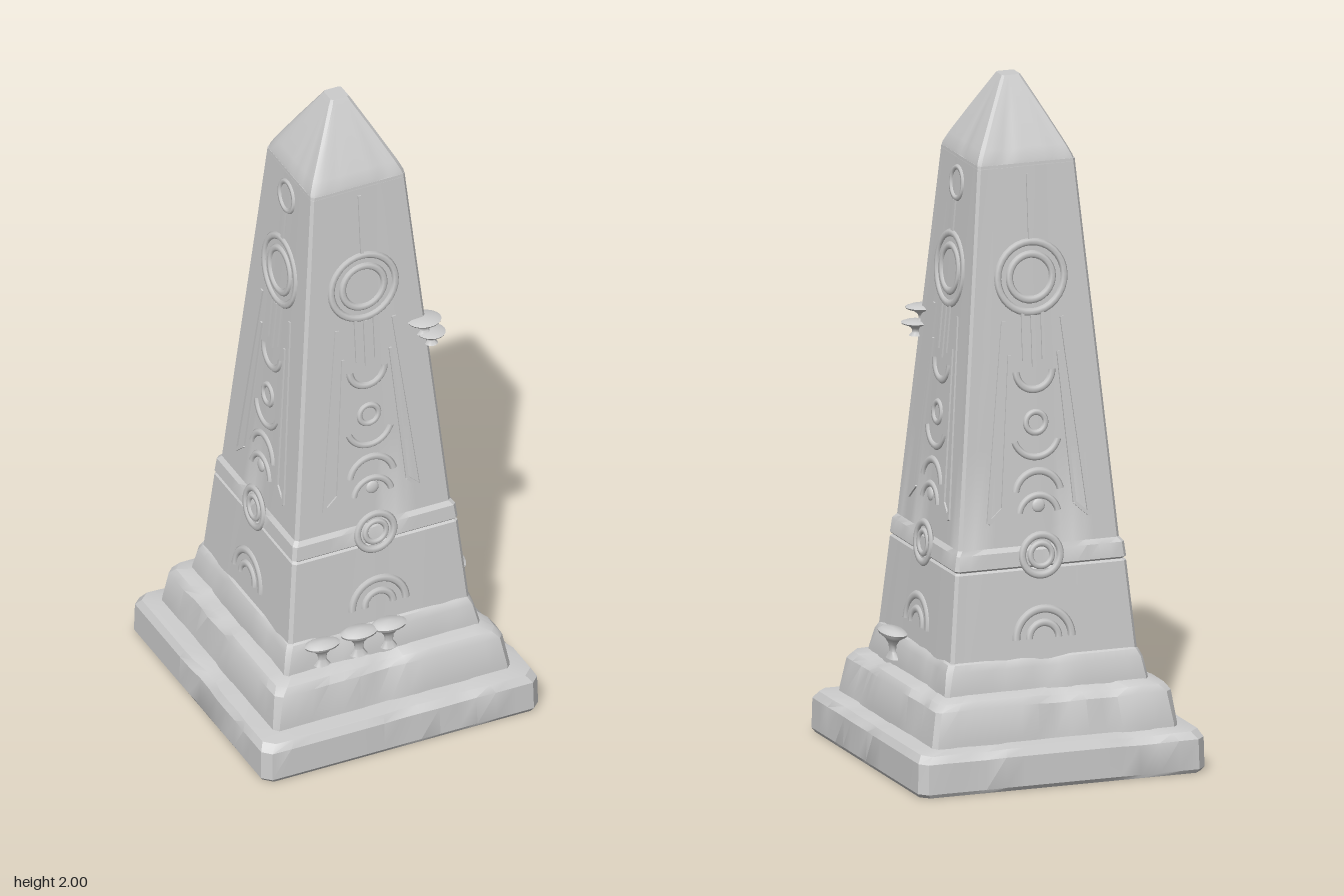
import * as THREE from 'three';
import { toCreasedNormals } from 'three/addons/utils/BufferGeometryUtils.js';

const stone = new THREE.MeshStandardMaterial({ color: 0xcccccc });
stone.name = 'stone grey';

function add(parent, geometry, name, x = 0, y = 0, z = 0) {
  const mesh = new THREE.Mesh(geometry, stone);
  mesh.name = name;
  mesh.position.set(x, y, z);
  parent.add(mesh);
  return mesh;
}

// Square tower of rings; each row is [y, half width, corner bevel, wear]
function squareLoft(rows, seed) {
  const N = 14, ring = 4 * (N + 1), pos = [], index = [];
  rows.forEach(([y, h, bevel, wear]) => {
    for (let k = 0; k < 4; k++) {
      const c = Math.round(Math.cos(k * Math.PI / 2)), s = Math.round(Math.sin(k * Math.PI / 2));
      for (let j = 0; j <= N; j++) {
        const t = 2 * j / N - 1, a = t * 4 + k * 2.3 + seed;
        const chip = wear * Math.max(0, Math.sin(a) + 0.6 * Math.sin(a * 2.7 + seed));
        const u = t * (h - bevel), w = h - chip;
        pos.push(u * c + w * s, y - chip * 0.5, w * c - u * s);
      }
    }
  });
  for (let i = 0; i < rows.length - 1; i++) {
    for (let j = 0; j < ring; j++) {
      const a = i * ring + j, b = i * ring + (j + 1) % ring;
      index.push(a, b, b + ring, a, b + ring, a + ring);
    }
  }
  const last = rows.length - 1, top = rows.length * ring;
  pos.push(0, rows[last][0], 0, 0, rows[0][0], 0);
  for (let j = 0; j < ring; j++) {
    const n = (j + 1) % ring;
    index.push(last * ring + j, last * ring + n, top, n, j, top + 1);
  }
  const g = new THREE.BufferGeometry();
  g.setAttribute('position', new THREE.Float32BufferAttribute(pos, 3));
  g.setIndex(index);
  return toCreasedNormals(g, 0.5);
}

// Shaft surface half width at height y
const faceZ = y => y < 0.66 ? 0.285 - (y - 0.36) * 0.09 : 0.247 - (y - 0.67) * 0.0892;

// Shallow raised carvings on one face
function carvings(withDisc) {
  const g = new THREE.Group();
  const seat = (mesh, y) => { mesh.rotation.x = -0.09; mesh.position.z = faceZ(y); return mesh; };
  const arc = (name, y, r, tube, start = 0, sweep = Math.PI * 2) => {
    const geo = new THREE.TorusGeometry(r, tube, 6, 32, sweep);
    geo.rotateZ(start);
    geo.scale(1, 1, 0.007 / tube);
    seat(add(g, geo, name, 0, y, 0), y);
  };
  const bar = (name, x0, y0, x1, y1, w) => {
    const y = (y0 + y1) / 2, geo = new THREE.BoxGeometry(w, Math.hypot(x1 - x0, y1 - y0), 0.01);
    geo.rotateZ(-Math.atan2(x1 - x0, y1 - y0));
    seat(add(g, geo, name, (x0 + x1) / 2, y, 0), y);
  };
  const disc = (name, y, r) => {
    const geo = new THREE.SphereGeometry(r, 20, 8);
    geo.scale(1, 1, 0.007 / r);
    seat(add(g, geo, name, 0, y, 0), y);
  };

  // Great ring with its stem
  arc('sunRing', 1.44, 0.102, 0.011);
  arc('sunInnerRing', 1.44, 0.066, 0.011);
  bar('sunStem', 0, 1.33, 0, 1.18, 0.012);
  if (withDisc) {
    arc('topDiscRim', 1.69, 0.045, 0.008);
    bar('topDiscStem', 0, 1.55, 0, 1.64, 0.014);
  } else {
    bar('topLine', 0, 1.55, 0, 1.74, 0.01);
  }
  // Column of crescents and discs
  arc('upperCrescent', 1.17, 0.055, 0.011, Math.PI, Math.PI);
  arc('smallRing', 1.02, 0.03, 0.009);
  arc('middleCrescent', 0.99, 0.07, 0.01, Math.PI * 1.1, Math.PI * 0.8);
  arc('upperArch', 0.81, 0.07, 0.011, 0.2, Math.PI - 0.4);
  arc('lowerArch', 0.75, 0.06, 0.01, 0.2, Math.PI - 0.4);
  disc('pearl', 0.78, 0.02);
  // Side frames
  for (const s of [-1, 1]) {
    bar('stemFrame', s * 0.03, 1.34, s * 0.03, 1.2, 0.01);
    bar('outerFrame', s * 0.09, 1.32, s * 0.155, 0.74, 0.012);
    bar('innerFrame', s * 0.075, 1.22, s * 0.11, 0.78, 0.009);
    bar('frameFoot', s * 0.155, 0.74, s * 0.11, 0.78, 0.01);
  }
  // Plinth emblems
  arc('bandRing', 0.64, 0.058, 0.011);
  arc('bandInnerRing', 0.64, 0.033, 0.009);
  arc('baseArch', 0.4, 0.085, 0.012, 0, Math.PI);
  arc('baseInnerArch', 0.4, 0.045, 0.011, 0, Math.PI);
  return g;
}

// Shelf mushroom: flat cap over a flared stalk, origin at the cap rim
const mushroomProfile = [[0, -0.075], [0.028, -0.075], [0.014, -0.055], [0.016, -0.035],
  [0.03, -0.018], [0.058, -0.003], [0.06, 0.003], [0.045, 0.011], [0, 0.015]]
  .map(p => new THREE.Vector2(...p));
function mushroom(parent, x, y, z, sx, sy, sz) {
  const geo = toCreasedNormals(new THREE.LatheGeometry(mushroomProfile, 20), 0.9);
  add(parent, geo, 'mushroom', x, y, z).scale.set(sx, sy, sz);
}

export function createModel() {
  const model = new THREE.Group();
  model.name = 'obelisk';

  // Stepped, weathered base
  add(model, squareLoft([[0, 0.432, 0.025, 0], [0.012, 0.44, 0.025, 0.003], [0.1, 0.438, 0.025, 0.006],
    [0.122, 0.425, 0.03, 0.012], [0.13, 0.36, 0.02, 0]], 0.4), 'baseSlab');
  add(model, squareLoft([[0.11, 0.378, 0.015, 0], [0.14, 0.376, 0.015, 0.003], [0.23, 0.364, 0.02, 0.01],
    [0.25, 0.35, 0.025, 0.014], [0.265, 0.3, 0.02, 0]], 2.1), 'middleStep');
  add(model, squareLoft([[0.24, 0.314, 0.012, 0], [0.27, 0.312, 0.012, 0.003], [0.325, 0.303, 0.015, 0.006],
    [0.345, 0.293, 0.015, 0.006], [0.36, 0.27, 0.015, 0]], 3.7), 'upperStep');

  // Tapered shaft with its band, then the pointed cap
  add(model, squareLoft([[0.34, 0.287, 0.01, 0], [0.6, 0.263, 0.01, 0.001], [0.606, 0.257, 0.01, 0],
    [0.612, 0.263, 0.01, 0], [0.655, 0.258, 0.01, 0.002], [0.668, 0.247, 0.01, 0], [0.95, 0.222, 0.009, 0.001],
    [1.22, 0.198, 0.009, 0.001], [1.5, 0.173, 0.009, 0.001], [1.77, 0.149, 0.008, 0]], 1.3), 'shaft');
  add(model, squareLoft([[1.76, 0.15, 0.008, 0], [1.78, 0.147, 0.01, 0.002], [1.81, 0.133, 0.01, 0.002],
    [1.9, 0.084, 0.008, 0.001], [1.985, 0.037, 0.008, 0], [2, 0.028, 0.006, 0]], 5.2), 'pointedCap');

  // Carvings on all four faces
  ['front', 'left', 'back', 'right'].forEach((side, i) => {
    const face = carvings(i % 2 === 1);
    face.name = side + 'Carvings';
    face.rotation.y = i * Math.PI / 2;
    model.add(face);
  });

  // Mushrooms on the step and on the shaft corner
  const fungi = new THREE.Group();
  fungi.name = 'mushrooms';
  mushroom(fungi, -0.2, 0.345, 0.322, 0.9, 0.9, 0.55);
  mushroom(fungi, -0.085, 0.355, 0.325, 0.95, 1, 0.6);
  mushroom(fungi, 0.01, 0.355, 0.325, 0.9, 1, 0.6);
  mushroom(fungi, 0.315, 0.355, 0.1, 0.6, 1, 1.2);
  mushroom(fungi, 0.185, 1.28, 0.195, 0.85, 0.6, 0.75);
  mushroom(fungi, 0.205, 1.235, 0.2, 0.7, 0.5, 0.7);
  model.add(fungi);
  return model;
}
